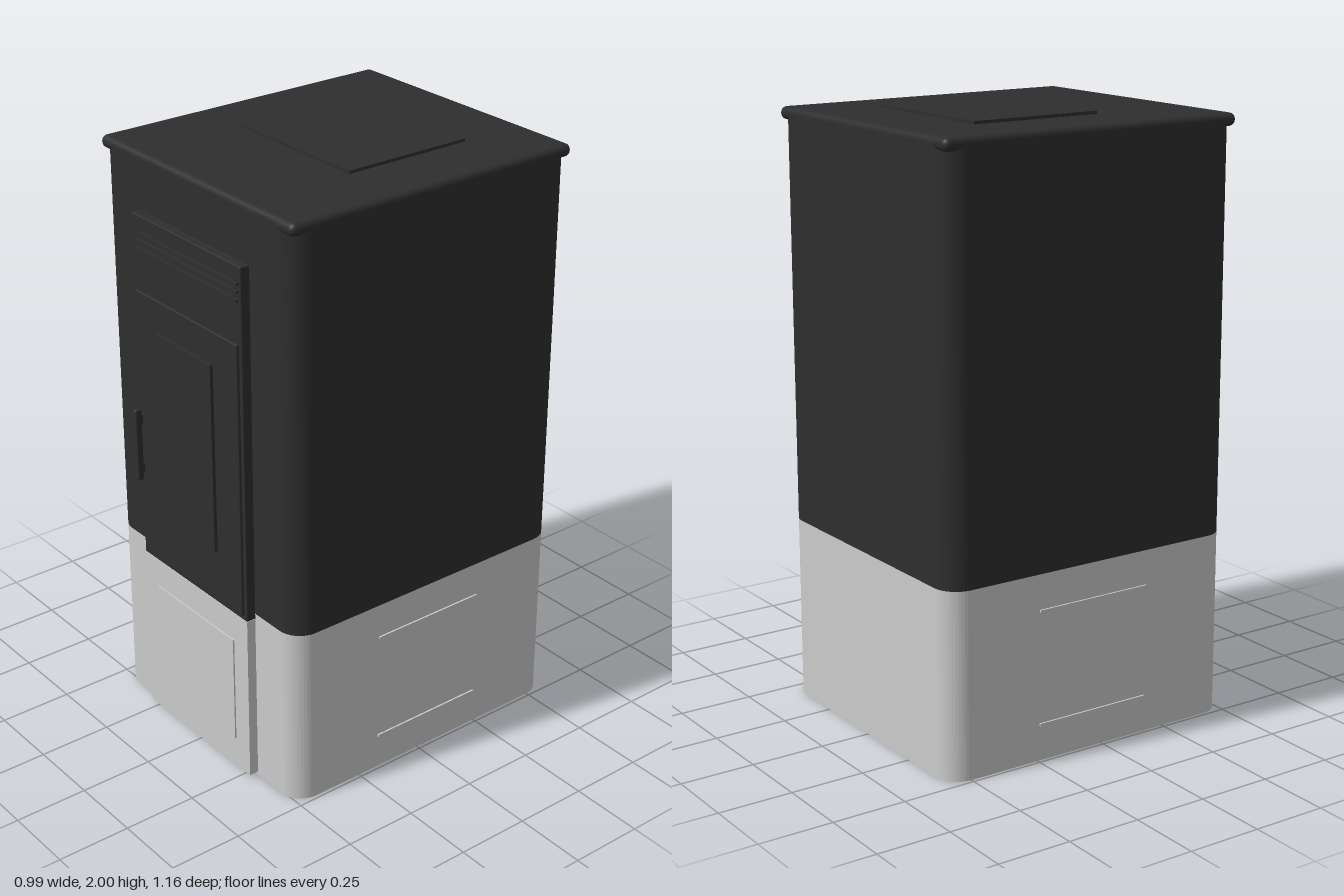
import * as THREE from 'three';
import { RoundedBoxGeometry } from 'three/addons/geometries/RoundedBoxGeometry.js';

const dark = new THREE.MeshStandardMaterial({ color: 0x2e2e2e });
dark.name = 'charcoal steel';
const light = new THREE.MeshStandardMaterial({ color: 0xcbcbcb });
light.name = 'pale grey steel';

const WIDTH = 0.976, BACK = -0.578, FRONT = 0.508;
const DEPTH = FRONT - BACK, MID_Z = (FRONT + BACK) / 2;

export function createModel() {
  const model = new THREE.Group();
  model.name = 'stove';

  const add = (name, geometry, material) => {
    const mesh = new THREE.Mesh(geometry, material);
    mesh.name = name;
    model.add(mesh);
    return mesh;
  };

  // Box given by its lower and upper limits on each axis
  const box = (name, material, [x0, x1], [y0, y1], [z0, z1], radius = 0) => {
    const size = [x1 - x0, y1 - y0, z1 - z0];
    const geometry = radius
      ? new RoundedBoxGeometry(...size, 4, radius)
      : new THREE.BoxGeometry(...size);
    const mesh = add(name, geometry, material);
    mesh.position.set((x0 + x1) / 2, (y0 + y1) / 2, (z0 + z1) / 2);
    return mesh;
  };

  // Upright block with rounded vertical corners
  const casing = (name, material, y0, y1, r = 0.08) => {
    const w = WIDTH / 2, d = DEPTH / 2;
    const shape = new THREE.Shape();
    shape.absarc(w - r, d - r, r, 0, Math.PI / 2);
    shape.absarc(r - w, d - r, r, Math.PI / 2, Math.PI);
    shape.absarc(r - w, r - d, r, Math.PI, Math.PI * 1.5);
    shape.absarc(w - r, r - d, r, Math.PI * 1.5, Math.PI * 2);
    const geometry = new THREE.ExtrudeGeometry(shape, { depth: y1 - y0, bevelEnabled: false, curveSegments: 6 });
    geometry.rotateX(-Math.PI / 2);
    add(name, geometry, material).position.set(0, y0, MID_Z);
  };

  // Body and lid
  casing('baseCasing', light, 0, 0.62);
  casing('upperCasing', dark, 0.62, 1.97);
  box('lid', dark, [-0.488, 0.488], [1.948, 1.99], [BACK, FRONT], 0.02);
  box('topPlate', dark, [-0.268, 0.268], [1.988, 2], [-0.332, 0.125]);

  // Front panels
  box('lowerPanel', light, [-0.282, 0.282], [0.012, 0.6], [0.5, 0.54]);
  box('lowerHatch', light, [-0.21, 0.21], [0.12, 0.5], [0.538, 0.545]);
  box('upperPanel', dark, [-0.282, 0.282], [0.6, 1.805], [0.5, 0.54], 0.004);

  // Vent slats above the door
  for (const y of [1.697, 1.725, 1.75]) {
    box('ventSlat', dark, [-0.272, 0.272], [y - 0.004, y + 0.004], [0.535, 0.549]);
  }

  // Door with window and handle
  box('door', dark, [-0.268, 0.268], [0.62, 1.555], [0.535, 0.549], 0.004);
  box('window', dark, [-0.145, 0.145], [0.795, 1.447], [0.545, 0.56]);
  box('handleBar', dark, [-0.266, -0.245], [0.892, 1.146], [0.555, 0.578], 0.005);
  for (const y of [0.93, 1.108]) {
    box('handleMount', dark, [-0.262, -0.249], [y - 0.015, y + 0.015], [0.545, 0.562]);
  }

  // Raised ribs on both sides of the base
  for (const side of [-1, 1]) {
    for (const y of [0.122, 0.5]) {
      const x = side * 0.49;
      box('sideRib', light, [x - 0.004, x + 0.004], [y - 0.004, y + 0.004], [-0.243, 0.172]);
    }
  }

  return model;
}
